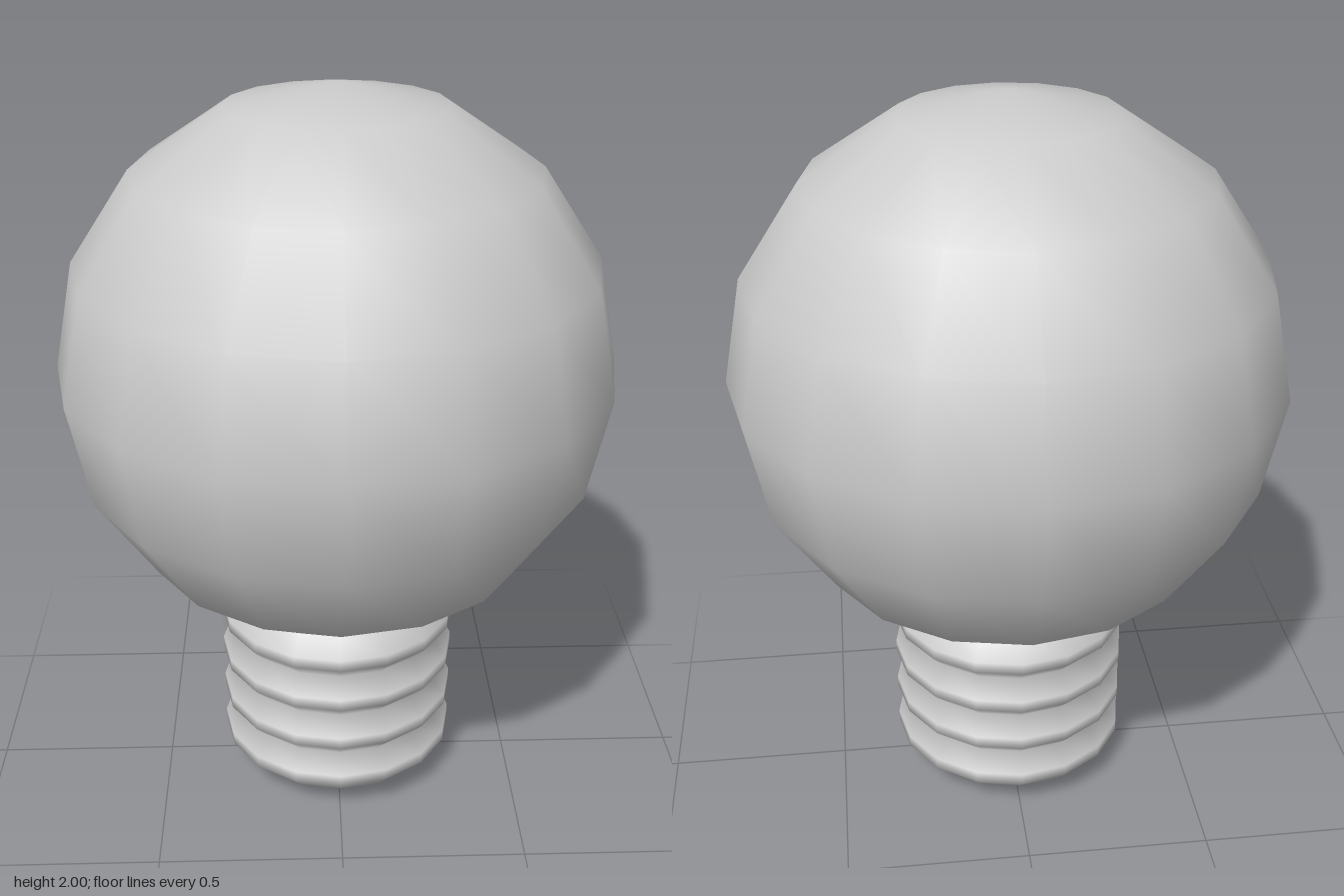
import * as THREE from 'three';

const material = new THREE.MeshStandardMaterial({ color: 0xcccccc });
const SIDES = 16;

function addPart(group, name, geometry) {
  const mesh = new THREE.Mesh(geometry, material);
  mesh.name = name;
  group.add(mesh);
  return mesh;
}

export function createModel() {
  const group = new THREE.Group();
  group.name = 'lightBulb';

  // Glass: a sphere with its lowest ring left open where the screw base joins
  const glass = addPart(group, 'glassBulb',
    new THREE.SphereGeometry(0.74, SIDES, 7, 0, Math.PI * 2, 0, Math.PI * 7 / 8));
  glass.position.y = 1.26;

  // Screw base: shallow pointed bottom, then four bevelled ridges between grooves
  const groove = 0.283, ridge = 0.33, bottom = 0.06, pitch = 0.129;
  const profile = [new THREE.Vector2(0, 0), new THREE.Vector2(groove, bottom)];
  for (let i = 0; i < 4; i++) {
    const y = bottom + i * pitch;
    profile.push(
      new THREE.Vector2(ridge, y + 0.048),
      new THREE.Vector2(ridge, y + 0.081),
      new THREE.Vector2(groove, y + pitch),
    );
  }
  addPart(group, 'screwBase', new THREE.LatheGeometry(profile, SIDES));

  return group;
}
